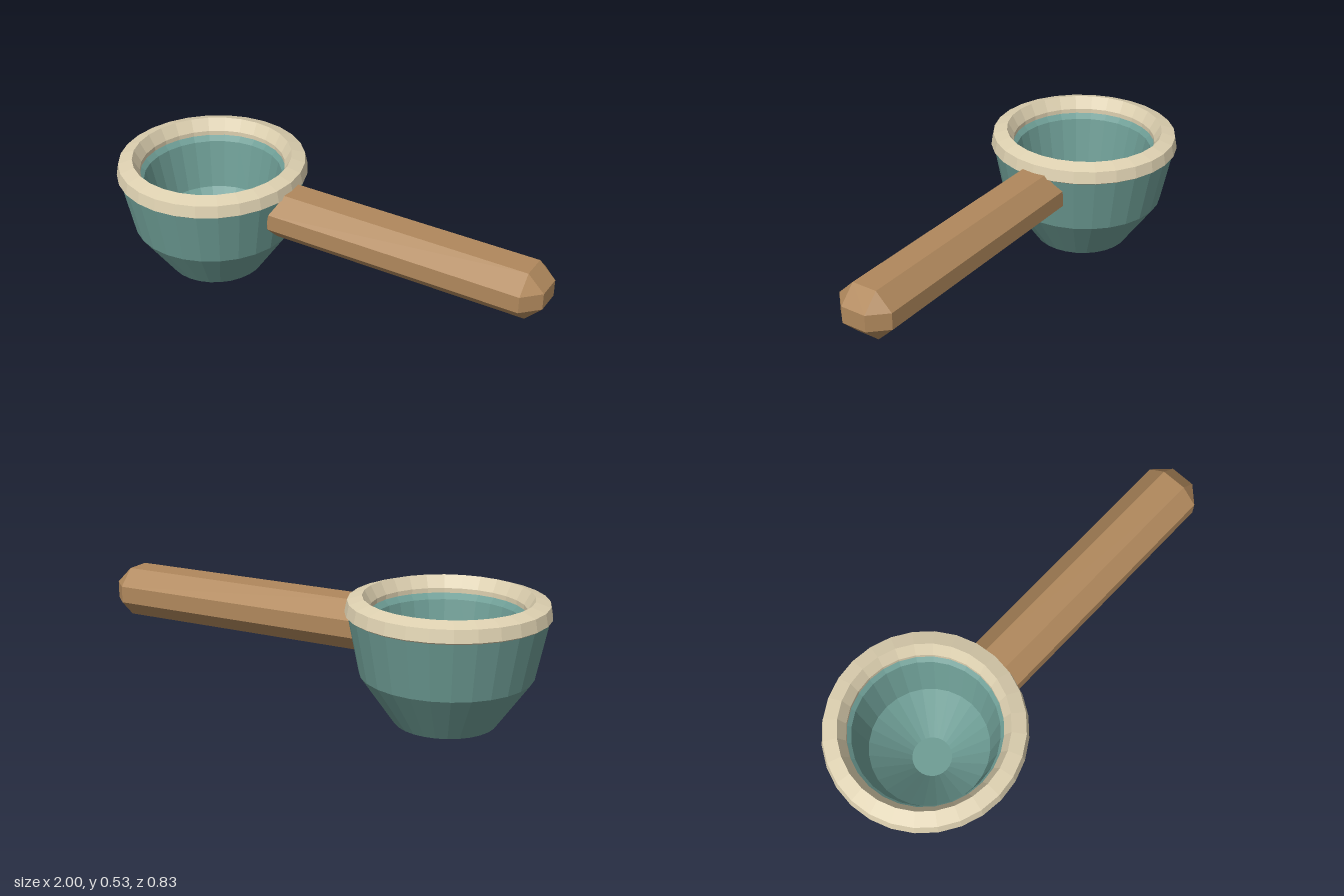
import * as THREE from 'three';
import { ConvexGeometry } from 'three/addons/geometries/ConvexGeometry.js';

const SIDES = 28;
const CUP_X = -0.585;

function flat(color) {
  return new THREE.MeshStandardMaterial({ color, flatShading: true });
}

// Turned part: profile runs up the outside and back down the inside
function turned(name, profile, material) {
  const points = profile.map(([r, y]) => new THREE.Vector2(r, y));
  const mesh = new THREE.Mesh(new THREE.LatheGeometry(points, SIDES), material);
  mesh.name = name;
  mesh.position.x = CUP_X;
  return mesh;
}

// Box with every edge cut off; each axis has its own cut width
function chamferedBox(half, cut) {
  const points = [];
  for (const sx of [-1, 1]) for (const sy of [-1, 1]) for (const sz of [-1, 1]) {
    for (let face = 0; face < 3; face++) {
      const p = half.map((h, axis) => (axis === face ? h : h - cut[axis]));
      points.push(new THREE.Vector3(sx * p[0], sy * p[1], sz * p[2]));
    }
  }
  return new ConvexGeometry(points);
}

export function createModel() {
  const model = new THREE.Group();
  model.name = 'handledCup';

  // Hollow bowl with a sloped inner lip
  model.add(turned('bowl', [
    [0, 0], [0.212, 0], [0.355, 0.205], [0.405, 0.455],
    [0.33, 0.455], [0.3, 0.43], [0.253, 0.22], [0.085, 0.06], [0, 0.06],
  ], flat(0x6c9b93)));

  // Collar around the mouth
  model.add(turned('rim', [
    [0.315, 0.455], [0.405, 0.45], [0.415, 0.457], [0.405, 0.508],
    [0.345, 0.527], [0.315, 0.475], [0.315, 0.455],
  ], flat(0xddd0b0)));

  // Handle set into the side of the bowl
  const handle = new THREE.Mesh(
    chamferedBox([0.645, 0.106, 0.126], [0.07, 0.07, 0.071]),
    flat(0xb0885c),
  );
  handle.name = 'handle';
  handle.position.set(0.355, 0.366, 0);
  model.add(handle);

  return model;
}
